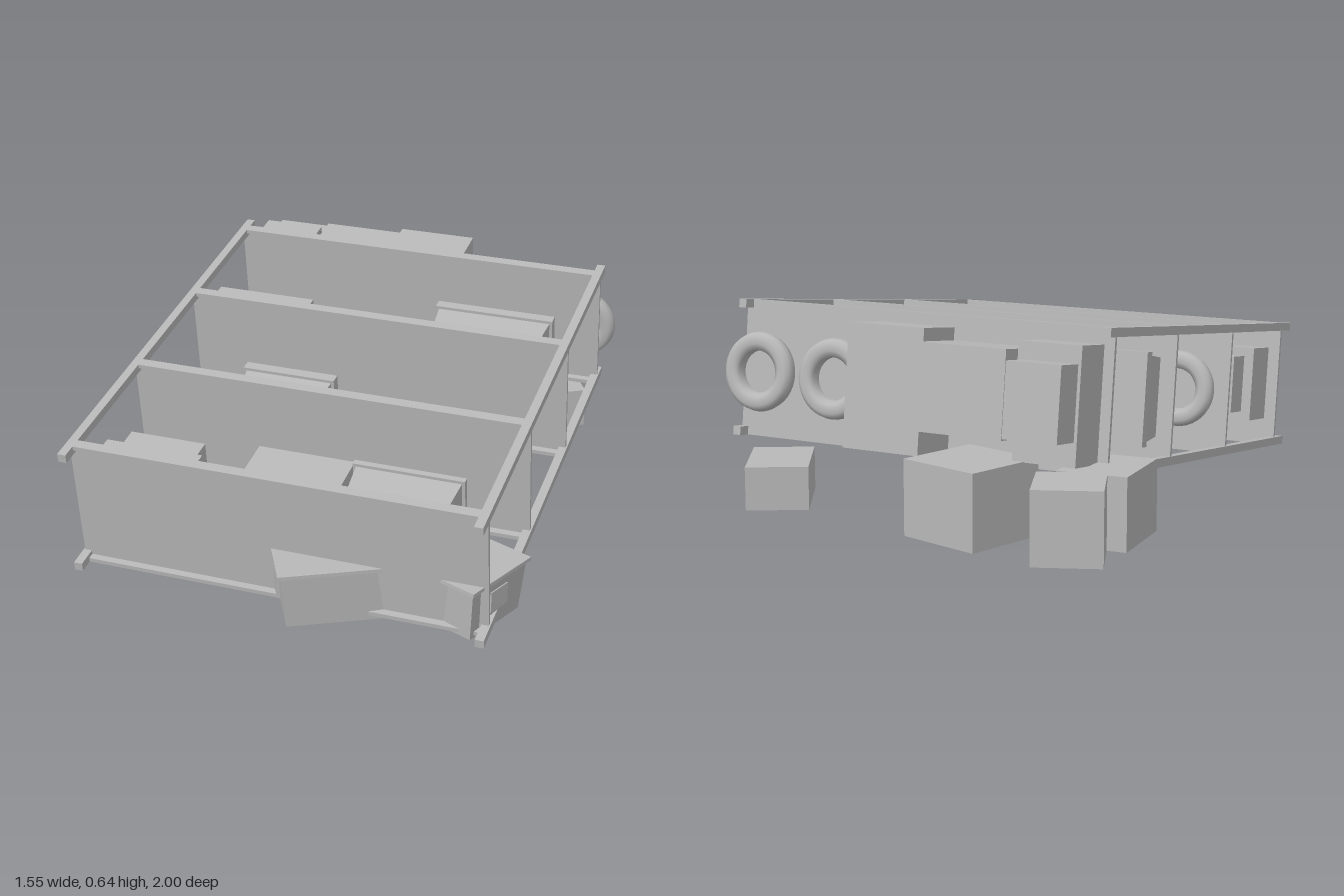
import * as THREE from 'three';

export function createModel() {
  const grey = new THREE.MeshStandardMaterial({ color: 0xb8b8b8 });
  const model = new THREE.Group();

  function add(parent, name, geometry, x, y, z, turn = 0) {
    const mesh = new THREE.Mesh(geometry, grey);
    mesh.name = name;
    mesh.position.set(x, y, z);
    mesh.rotation.y = turn;
    parent.add(mesh);
    return mesh;
  }

  // Box whose lower face is narrower than its upper face
  function taperedBox(w, h, d, taper) {
    const geometry = new THREE.BoxGeometry(w, h, d);
    const p = geometry.attributes.position;
    for (let i = 0; i < p.count; i++) {
      if (p.getY(i) < 0) p.setXYZ(i, p.getX(i) * taper, p.getY(i), p.getZ(i) * taper);
    }
    geometry.computeVertexNormals();
    return geometry;
  }

  // Plain box standing on height y
  function carton(parent, x, y, z, w, h, d, turn) {
    add(parent, 'carton', new THREE.BoxGeometry(w, h, d), x, y + h / 2, z, turn);
  }

  // Tapered storage bin with a rimmed lid; w and d are the rim size
  function bin(parent, x, y, z, w, h, d, turn = 0, rim = 0.035) {
    const group = new THREE.Group();
    group.name = 'storageBin';
    group.position.set(x, y, z);
    group.rotation.y = turn;
    parent.add(group);
    add(group, 'binBody', taperedBox(w - 0.02, h - rim, d - 0.02, 0.91), 0, (h - rim) / 2, 0);
    add(group, 'binLid', new THREE.BoxGeometry(w, rim, d), 0, h - rim / 2, 0);
    return group;
  }

  // Ring with a bulging wall and a stepped inner bead
  const ringProfile = [
    [0.07, 0.012], [0.082, 0.006], [0.09, 0], [0.112, 0], [0.126, 0.01], [0.131, 0.028],
    [0.126, 0.045], [0.112, 0.055], [0.09, 0.055], [0.082, 0.049], [0.07, 0.043], [0.07, 0.012],
  ].map(([r, y]) => new THREE.Vector2(r, y));
  const ringGeometry = new THREE.LatheGeometry(ringProfile, 40);
  const ring = (parent, x, y, z) => add(parent, 'ring', ringGeometry, x, y, z);

  // Toppled shelf unit: local y runs along the posts, local z across the depth
  const rack = new THREE.Group();
  rack.name = 'shelfUnit';
  rack.position.set(0.033, 0.025, 0.905);
  rack.rotation.x = THREE.MathUtils.degToRad(-83);
  model.add(rack);
  const depth = 0.419, halfWidth = 0.658;

  // Corner posts
  for (const side of [-1, 1]) {
    for (const z of [0, depth]) {
      add(rack, 'post', new THREE.BoxGeometry(0.028, 1.56, 0.028), side * halfWidth, 0.78, z);
    }
  }

  // Shelf decks with a lip along both long edges
  const shelves = [0.067, 0.55, 1.028, 1.5];
  for (const y of shelves) {
    add(rack, 'shelfDeck', new THREE.BoxGeometry(1.335, 0.012, depth + 0.01), 0, y + 0.011, depth / 2);
    for (const z of [-0.007, depth + 0.007]) {
      add(rack, 'shelfLip', new THREE.BoxGeometry(1.34, 0.036, 0.014), 0, y, z);
    }
  }

  // Goods on the shelves, x measured from the model centre
  const goods = new THREE.Group();
  goods.name = 'shelfGoods';
  goods.position.x = -0.033;
  rack.add(goods);
  const [first, second, third, fourth] = shelves.map((y) => y + 0.017);

  carton(goods, -0.43, first, 0.21, 0.325, 0.15, 0.26);
  carton(goods, -0.43, first + 0.15, 0.21, 0.255, 0.1, 0.2);
  carton(goods, 0.047, first, 0.22, 0.315, 0.24, 0.25);
  bin(goods, 0.395, first, 0.22, 0.355, 0.205, 0.32, 0, 0.02);

  ring(goods, -0.46, second, 0.2);
  ring(goods, 0.16, second, 0.2);
  bin(goods, -0.152, second, 0.205, 0.315, 0.16, 0.34);

  bin(goods, -0.43, third, 0.2, 0.35, 0.16, 0.3);
  bin(goods, 0.395, third, 0.21, 0.41, 0.215, 0.345);

  carton(goods, -0.495, fourth, 0.2, 0.21, 0.15, 0.36);
  carton(goods, -0.5, fourth + 0.15, 0.21, 0.18, 0.11, 0.23);
  carton(goods, -0.24, fourth, 0.22, 0.3, 0.225, 0.27);
  carton(goods, 0.05, fourth, 0.2, 0.27, 0.185, 0.39);
  ring(goods, 0.33, fourth, 0.2);
  ring(goods, 0.62, fourth, 0.2);

  // Goods lying on the ground
  const fallen = new THREE.Group();
  fallen.name = 'fallenGoods';
  model.add(fallen);
  carton(fallen, -0.635, 0.012, -0.855, 0.21, 0.225, 0.23, 0.4);
  carton(fallen, -0.64, 0.012, -0.61, 0.22, 0.225, 0.27, 0.09);
  carton(fallen, -0.27, 0.012, -0.78, 0.29, 0.238, 0.28, -0.27);
  carton(fallen, 0.5, 0.012, -0.67, 0.2, 0.14, 0.3, 0.53);
  const fallenBins = [
    bin(fallen, 0.19, 0, 0.8, 0.364, 0.19, 0.265, 0.49, 0.012),
    bin(fallen, 0.55, 0.008, 0.7, 0.37, 0.182, 0.28, -0.39, 0.012),
  ];

  // Grip plates on the short ends of the fallen bins
  for (const group of fallenBins) {
    for (const side of [-1, 1]) {
      add(group, 'grip', new THREE.BoxGeometry(0.009, 0.07, 0.08), side * 0.171, 0.1, 0);
    }
  }
  return model;
}
